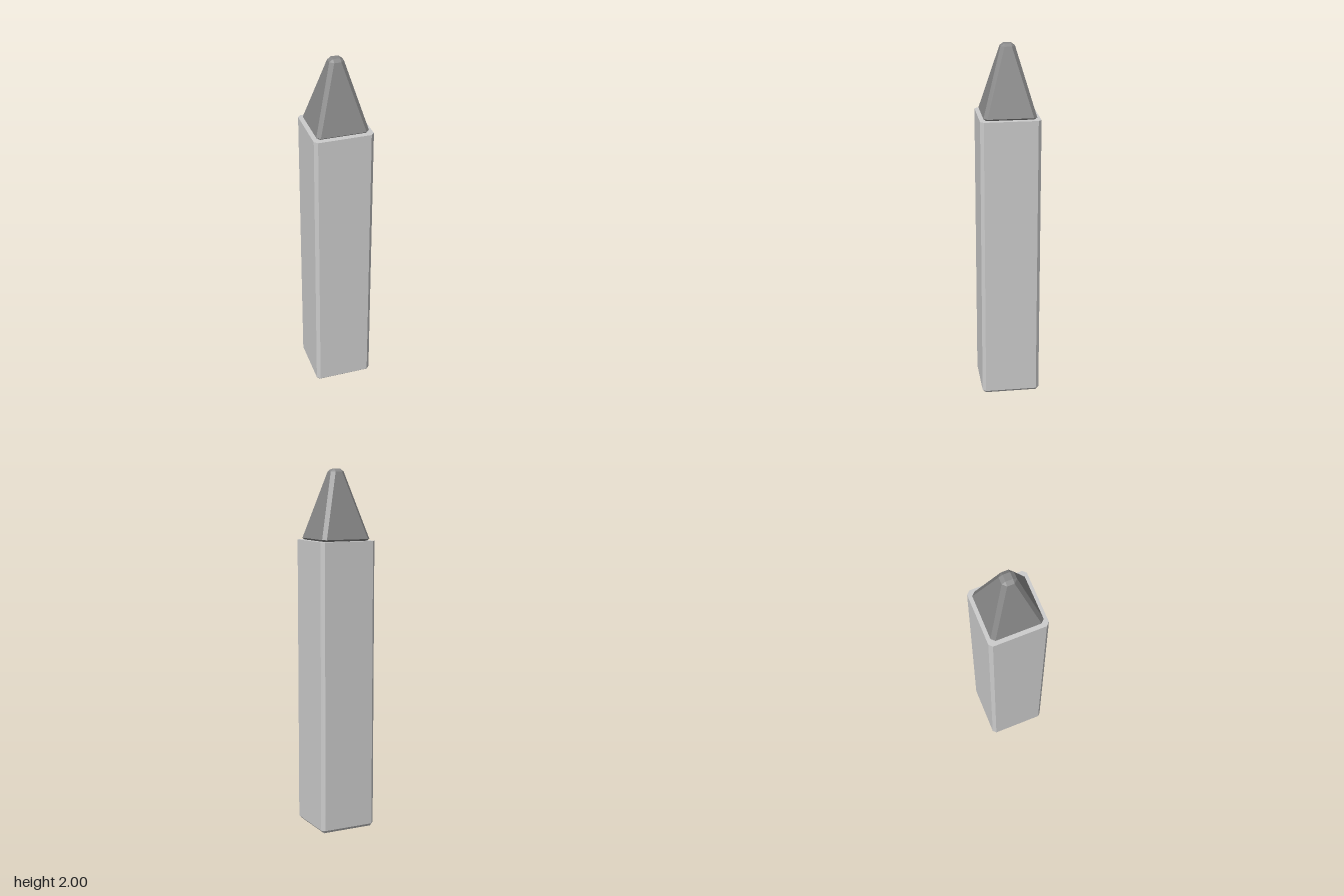
import * as THREE from 'three';

// Square ring with cut corners: eight points, two per corner (cut 0 gives a plain square)
function ring({ y, half, cut }) {
  const points = [];
  for (const [sx, sz] of [[1, 1], [-1, 1], [-1, -1], [1, -1]]) {
    const alongX = [sx * half, y, sz * (half - cut)];
    const alongZ = [sx * (half - cut), y, sz * half];
    points.push(...(sx * sz > 0 ? [alongX, alongZ] : [alongZ, alongX]));
  }
  return points;
}

// Joins the rings from bottom to top and closes both ends
function loft(name, color, sections) {
  const rings = sections.map(ring);
  const bottom = rings[0];
  const top = rings[rings.length - 1];
  const position = [];
  const triangle = (a, b, c) => position.push(...a, ...b, ...c);
  for (let i = 0; i < 8; i++) {
    const j = (i + 1) % 8;
    for (let r = 0; r < rings.length - 1; r++) {
      const lower = rings[r];
      const upper = rings[r + 1];
      triangle(lower[i], upper[i], upper[j]);
      triangle(lower[i], upper[j], lower[j]);
    }
    triangle([0, bottom[0][1], 0], bottom[i], bottom[j]);
    triangle([0, top[0][1], 0], top[j], top[i]);
  }
  const geometry = new THREE.BufferGeometry();
  geometry.setAttribute('position', new THREE.Float32BufferAttribute(position, 3));
  geometry.computeVertexNormals();
  const mesh = new THREE.Mesh(geometry, new THREE.MeshStandardMaterial({ color, flatShading: true }));
  mesh.name = name;
  return mesh;
}

export function createModel() {
  const model = new THREE.Group();
  model.name = 'spikedPost';

  // Long post: bevelled foot, cut upright edges, flat top
  model.add(loft('post', 0xcccccc, [
    { y: 0, half: 0.145, cut: 0 },
    { y: 0.018, half: 0.163, cut: 0.018 },
    { y: 1.615, half: 0.163, cut: 0.018 },
  ]));

  // Darker tapered tip, bevelled at its base and its blunt point
  model.add(loft('tip', 0x888888, [
    { y: 1.61, half: 0.124, cut: 0 },
    { y: 1.625, half: 0.143, cut: 0.019 },
    { y: 1.986, half: 0.039, cut: 0.02 },
    { y: 2, half: 0.019, cut: 0 },
  ]));

  return model;
}
